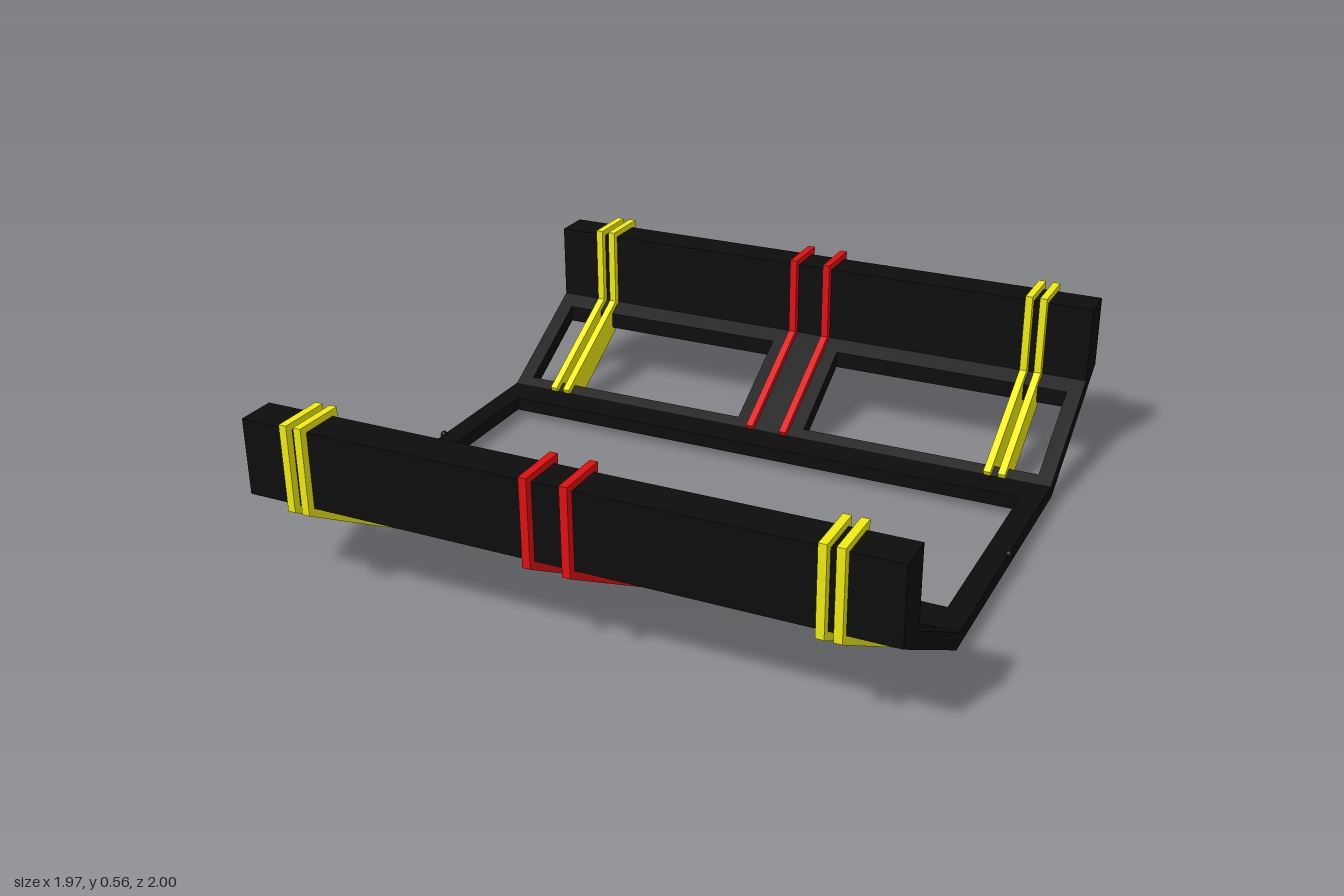
import * as THREE from 'three';

const black = new THREE.MeshStandardMaterial({ color: 0x0d0d0d });
const yellow = new THREE.MeshStandardMaterial({ color: 0xf0ec10 });
const red = new THREE.MeshStandardMaterial({ color: 0xe01010 });

// Extrude a side profile of [z, y] points along x, centred on x
function slab(name, points, x, width, material) {
  const shape = new THREE.Shape(points.map(([z, y]) => new THREE.Vector2(z, y)));
  const geometry = new THREE.ExtrudeGeometry(shape, { depth: width, bevelEnabled: false });
  geometry.translate(0, 0, -width / 2).rotateY(-Math.PI / 2);
  const mesh = new THREE.Mesh(geometry, material);
  mesh.name = name;
  mesh.position.x = x;
  return mesh;
}

// Profiles of one end
const baseBeam = [[0.365, 0.03], [0.5, 0.03], [0.51, 0.036], [0.51, 0.093], [0.478, 0.075], [0.365, 0.075]];
const slope = [[0.51, 0.036], [0.805, 0.207], [0.805, 0.262], [0.51, 0.093]];
const wall = [[0.855, 0.54], [0.855, 0.291], [0.805, 0.262], [0.805, 0.207], [0.975, 0.305], [0.975, 0.54]];
const band = [[0.833, 0.56], [0.833, 0.3], [0.465, 0.09], [0.51, 0.005], [1, 0.293], [1, 0.56]];

function createEnd(name) {
  const end = new THREE.Group();
  end.name = name;
  end.add(slab('baseBeam', baseBeam, 0, 1.95, black));
  end.add(slab('endWall', wall, 0, 1.95, black));
  // Sloping struts leave two window openings
  end.add(slab('centreStrut', slope, 0, 0.24, black));
  for (const side of [-1, 1]) {
    end.add(slab('sideStrut', slope, side * 0.95, 0.05, black));
    end.add(slab('centreBand', band, side * 0.06, 0.024, red));
    for (const x of [0.768, 0.816]) end.add(slab('outerBand', band, side * x, 0.024, yellow));
  }
  return end;
}

export function createModel() {
  const model = new THREE.Group();
  model.name = 'cradleFrame';
  const front = createEnd('frontEnd');
  const back = createEnd('backEnd');
  back.rotation.y = Math.PI;
  model.add(front, back);

  // Side rails joining the ends, each with a small round stud
  for (const side of [-1, 1]) {
    const rail = new THREE.Mesh(new THREE.BoxGeometry(0.07, 0.045, 0.73), black);
    rail.name = 'sideRail';
    rail.position.set(side * 0.94, 0.0525, 0);
    const stud = new THREE.Mesh(new THREE.SphereGeometry(0.012, 16, 12), black);
    stud.name = 'stud';
    stud.position.set(side * 0.975, 0.075, 0);
    model.add(rail, stud);
  }
  return model;
}
